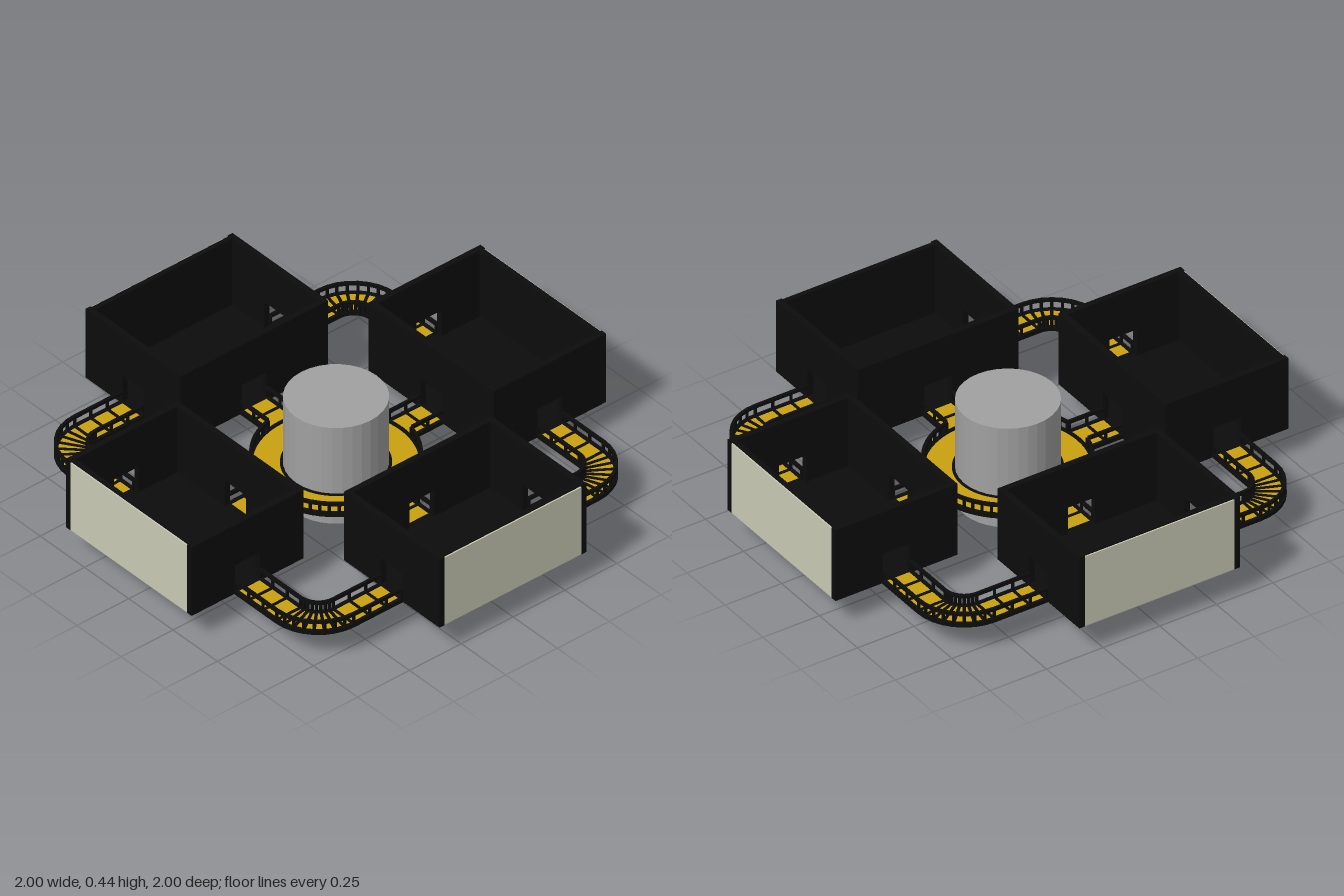
import * as THREE from 'three';
import { mergeGeometries } from 'three/addons/utils/BufferGeometryUtils.js';

const mat = (name, color) => new THREE.MeshStandardMaterial({ name, color });

const BASE = 0.125, TOP = 0.44, WALL = 0.025;   // room heights and wall thickness
const HALF = 0.355, IN = 0.46, OUT = 1.0;       // room half width, inner and outer z
const MID = 0.73, WALK = 0.058;                 // walkway centre line and rail offset

// Flat-shaded rectangular bar swept along a path of {x, z, tx, tz};
// o0..o1 is the sideways extent, y0..y1 the height.
function sweep(path, o0, o1, y0, y1) {
  const pos = [], idx = [], n = path.length;
  for (const p of path)
    for (const [o, y] of [[o0, y0], [o1, y0], [o1, y1], [o0, y1]])
      pos.push(p.x + p.tz * o, y, p.z - p.tx * o);
  for (let i = 0; i < n - 1; i++)
    for (let j = 0; j < 4; j++) {
      const a = i * 4 + j, b = i * 4 + (j + 1) % 4, c = b + 4, d = a + 4;
      idx.push(a, b, c, a, c, d);
    }
  const e = (n - 1) * 4;
  idx.push(0, 3, 2, 0, 2, 1, e, e + 1, e + 2, e, e + 2, e + 3);
  const g = new THREE.BufferGeometry();
  g.setAttribute('position', new THREE.Float32BufferAttribute(pos, 3));
  g.setIndex(idx);
  return flat(g);
}

function flat(g) {
  const f = g.index ? g.toNonIndexed() : g;
  f.deleteAttribute('uv');
  f.computeVertexNormals();
  return f;
}

const box = (w, h, d, x, y, z) => flat(new THREE.BoxGeometry(w, h, d).translate(x, y, z));

// Wall in the xy plane with a doorway in the middle
function doorWall(length) {
  const h = length / 2, d = 0.06, s = new THREE.Shape();
  [[-h, BASE], [-d, BASE], [-d, 0.255], [d, 0.255], [d, BASE], [h, BASE], [h, TOP], [-h, TOP]]
    .forEach(([x, y], i) => (i ? s.lineTo(x, y) : s.moveTo(x, y)));
  return new THREE.ExtrudeGeometry(s, { depth: WALL, bevelEnabled: false });
}

// Two railings with posts at each path point
function railings(path, offsets) {
  const parts = [];
  for (const o of offsets) {
    parts.push(sweep(path, o - 0.007, o + 0.007, BASE, 0.142));
    parts.push(sweep(path, o - 0.006, o + 0.006, 0.174, 0.187));
    for (const p of path)
      parts.push(box(0.009, 0.05, 0.009, p.x + p.tz * o, 0.155, p.z - p.tx * o));
  }
  return mergeGeometries(parts);
}

// Thin crossbars between treads
function crossbars(path) {
  return mergeGeometries(path.map(p => sweep(
    [-0.006, 0.006].map(s => ({ ...p, x: p.x + p.tx * s, z: p.z + p.tz * s })),
    -WALK, WALK, 0.127, 0.139)));
}

// Path around the pillar; offsets along it are negative radii
function arc(a0, a1, steps) {
  return Array.from({ length: steps + 1 }, (_, i) => {
    const a = a0 + (a1 - a0) * i / steps;
    return { x: 0, z: 0, tx: Math.cos(a), tz: -Math.sin(a) };
  });
}

export function createModel() {
  const model = new THREE.Group();
  model.name = 'station';
  const black = mat('black', 0x0c0c0c);
  const yellow = mat('deck yellow', 0xc8a00f);
  const grey = mat('concrete grey', 0xa0a0a0);
  const pale = mat('pale panel', 0xc8c9b4);
  const add = (parent, name, geo, material) => {
    const m = new THREE.Mesh(geo, material);
    m.name = name;
    parent.add(m);
    return m;
  };

  // Central pillar and ring deck
  add(model, 'pillar', flat(new THREE.CylinderGeometry(0.195, 0.195, TOP, 32).translate(0, TOP / 2, 0)), grey);
  const circle = arc(0, Math.PI * 2, 64);
  add(model, 'ringDeck', sweep(circle, -0.315, -0.196, 0.13, 0.136), yellow);
  add(model, 'ringInnerEdge', sweep(circle, -0.206, -0.19, 0.127, 0.139), black);
  add(model, 'ringOuterEdge', sweep(circle, -0.32, -0.306, BASE, 0.142), black);

  // Gangway from ring to room
  const gangway = [0.312, 0.39, 0.465].map(z => ({ x: 0, z, tx: 0, tz: 1 }));

  // Corner walkway between neighbouring rooms
  const c = 0.588, r = MID - c, corner = [];
  for (const s of [0.357, 0.43, 0.51]) corner.push({ x: s, z: MID, tx: 1, tz: 0 });
  for (let i = 0; i <= 8; i++) {
    const a = i / 8 * Math.PI / 2, sn = Math.sin(a), cs = Math.cos(a);
    corner.push({ x: c + r * sn, z: c + r * cs, tx: cs, tz: -sn });
  }
  for (const s of [0.51, 0.43, 0.357]) corner.push({ x: MID, z: s, tx: 0, tz: -1 });

  const depth = OUT - IN, zc = (OUT + IN) / 2, yc = (TOP + BASE) / 2;
  for (let q = 0; q < 4; q++) {
    const side = new THREE.Group();
    side.name = 'quarter' + (q + 1);
    side.rotation.y = q * Math.PI / 2;
    model.add(side);

    // Open-topped room
    const room = new THREE.Group();
    room.name = 'room';
    side.add(room);
    add(room, 'floor', box(HALF * 2 - 0.01, 0.008, depth - 0.01, 0, 0.133, zc), black);
    add(room, 'floorUnderside', box(HALF * 2 - 0.002, 0.006, depth - 0.002, 0, 0.1265, zc), grey);
    add(room, 'innerWall', doorWall(HALF * 2 - 0.04).translate(0, 0, IN), black);
    for (const x of [-HALF, HALF - WALL])
      add(room, 'sideWall', doorWall(depth).rotateY(Math.PI / 2).translate(x, 0, zc), black);
    add(room, 'outerWall', box(HALF * 2 - 0.04, TOP - BASE, 0.02, 0, yc, 0.984), black);
    add(room, 'outerPanel', box(HALF * 2 - 2 * WALL, 0.308, 0.008, 0, 0.281, 0.996), pale);

    // Gangway
    add(side, 'gangwayDeck', sweep(gangway, -WALK, WALK, 0.13, 0.136), yellow);
    add(side, 'gangwayRailings', railings(gangway, [-0.063, 0.063]), black);
    add(side, 'gangwayCrossbars', crossbars(gangway), black);

    // Ring railing, open at the gangways
    add(side, 'ringRailing', railings(arc(0.21, Math.PI / 2 - 0.21, 10), [-0.313]), black);

    // Corner walkway
    add(side, 'walkwayDeck', sweep(corner, -WALK, WALK, 0.13, 0.136), yellow);
    add(side, 'walkwayRailings', railings(corner, [-WALK, WALK]), black);
    add(side, 'walkwayCrossbars', crossbars(corner), black);
  }
  return model;
}
